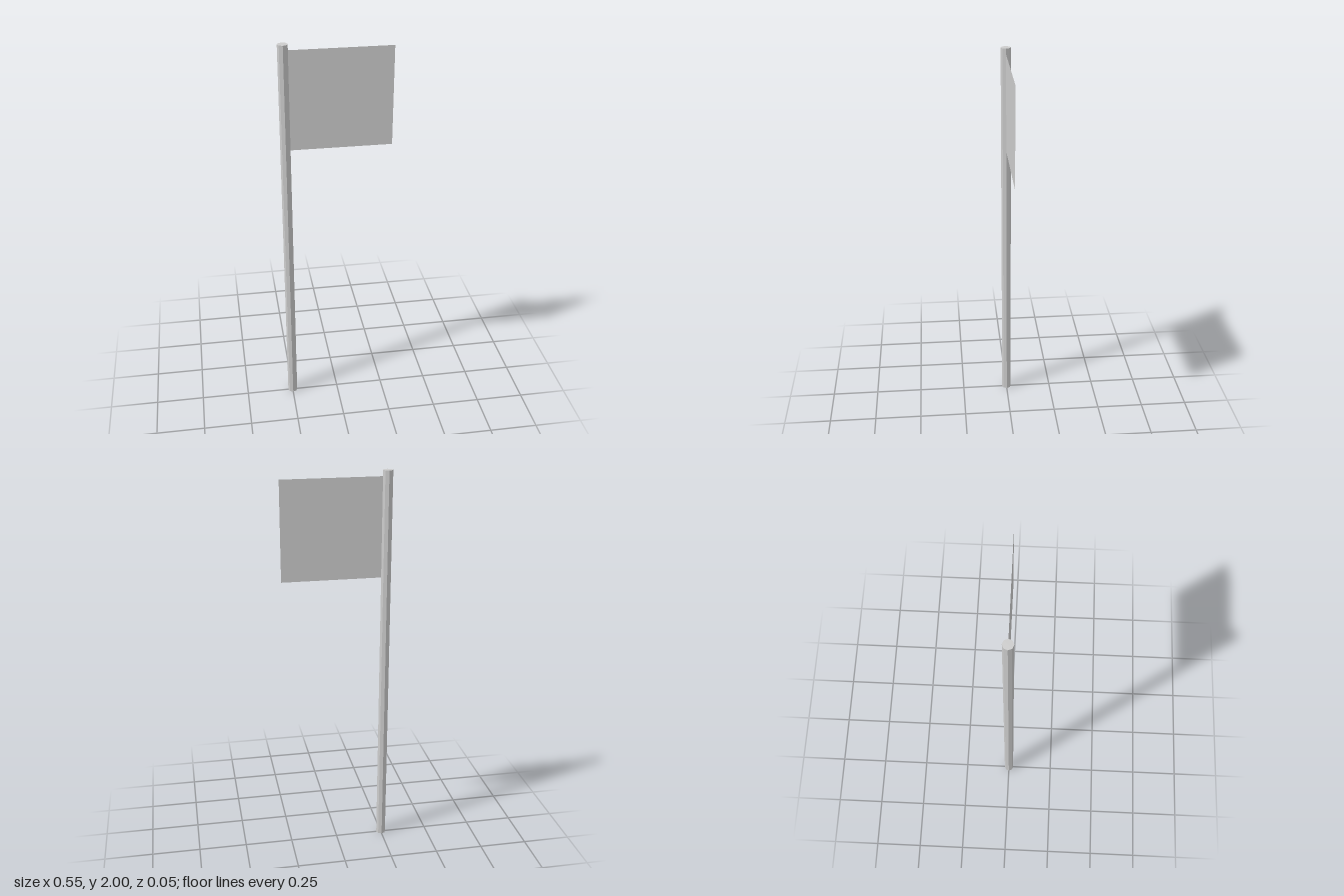
import * as THREE from 'three';

const POLE_RADIUS = 0.025;
const POLE_HEIGHT = 2;
const POLE_X = -0.25;
const FLAG_SIZE = 0.5;
const FLAG_TOP = 1.97;

export function createModel() {
  const model = new THREE.Group();
  model.name = 'flagOnPole';

  // Eight-sided pole, corners on the x and z axes
  const pole = new THREE.Mesh(
    new THREE.CylinderGeometry(POLE_RADIUS, POLE_RADIUS, POLE_HEIGHT, 8),
    new THREE.MeshStandardMaterial({ color: 0xcccccc, flatShading: true })
  );
  pole.name = 'pole';
  pole.position.set(POLE_X, POLE_HEIGHT / 2, 0);
  model.add(pole);

  // Flat square flag, attached to the pole's edge
  const flag = new THREE.Mesh(
    new THREE.PlaneGeometry(FLAG_SIZE, FLAG_SIZE),
    new THREE.MeshStandardMaterial({ color: 0xcccccc, side: THREE.DoubleSide })
  );
  flag.name = 'flag';
  flag.position.set(POLE_X + POLE_RADIUS + FLAG_SIZE / 2, FLAG_TOP - FLAG_SIZE / 2, 0);
  model.add(flag);

  return model;
}
